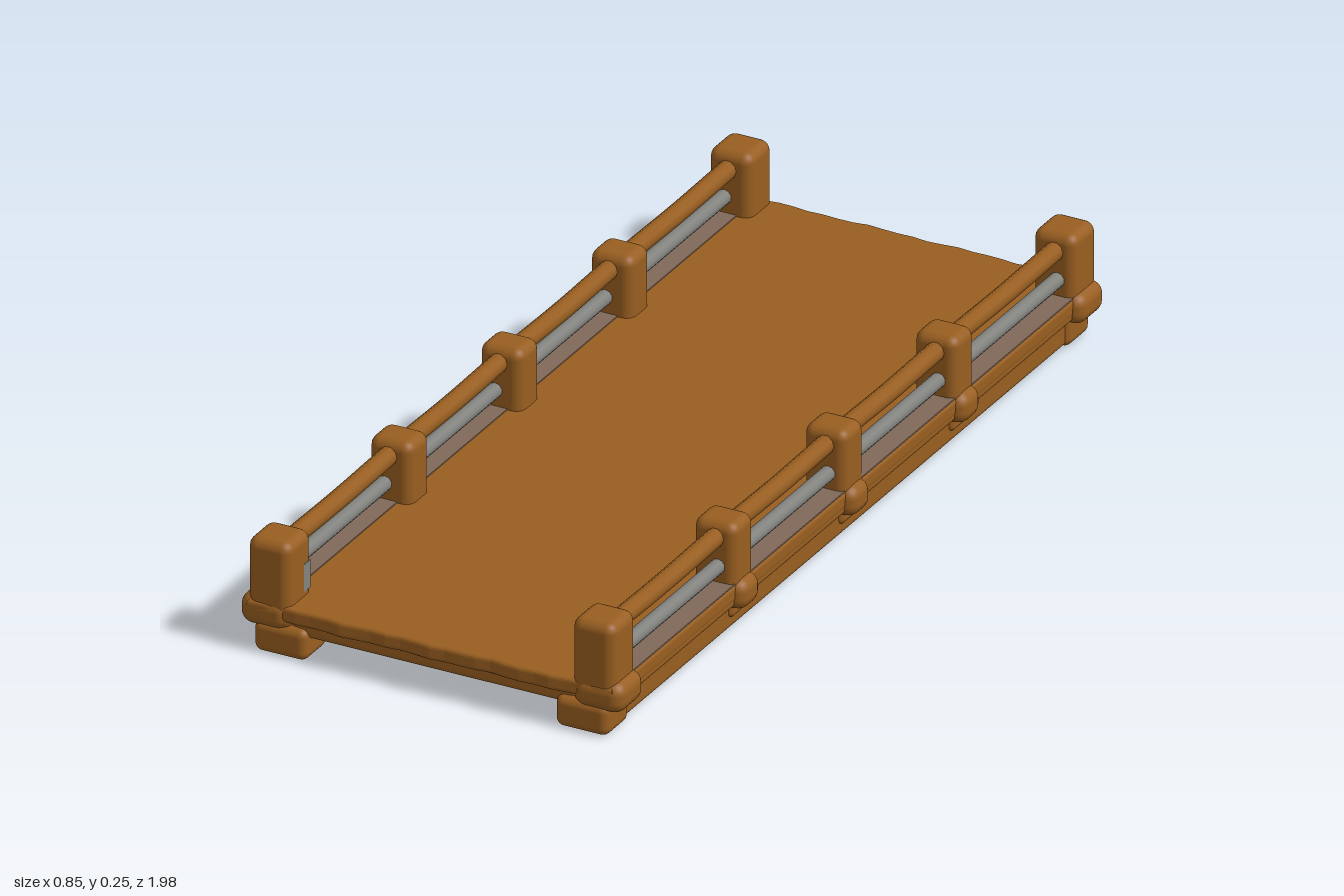
import * as THREE from 'three';
import { RoundedBoxGeometry } from 'three/addons/geometries/RoundedBoxGeometry.js';

export function createModel() {
  const model = new THREE.Group();
  model.name = 'woodenBridge';

  const wood = new THREE.MeshStandardMaterial({ color: 0x985e20 });
  wood.name = 'brown wood';
  const metal = new THREE.MeshStandardMaterial({ color: 0x82827f });
  metal.name = 'grey metal';
  const stain = new THREE.MeshStandardMaterial({ color: 0x80695a });
  stain.name = 'greyish wood';

  const add = (parent, name, geometry, material) => {
    const mesh = new THREE.Mesh(geometry, material);
    mesh.name = name;
    parent.add(mesh);
    return mesh;
  };
  // Rounded block given by its limits on each axis
  const block = (parent, name, [x0, x1], [y0, y1], [z0, z1], radius) => {
    const g = new RoundedBoxGeometry(x1 - x0, y1 - y0, z1 - z0, 3, radius);
    g.translate((x0 + x1) / 2, (y0 + y1) / 2, (z0 + z1) / 2);
    return add(parent, name, g, wood);
  };
  // Thin flat plate given by size and centre
  const plate = (parent, name, size, centre, material) =>
    add(parent, name, new THREE.BoxGeometry(...size).translate(...centre), material);
  // Rail drawn through a list of points
  const rail = (parent, name, points, radius, material) =>
    add(parent, name, new THREE.TubeGeometry(new THREE.CatmullRomCurve3(points), 64, radius, 10), material);

  const postZ = [-0.938, -0.448, 0, 0.448, 0.935];

  // Deck with gently worn, uneven ends
  const outline = new THREE.Shape();
  const steps = 24, half = 0.396;
  const wear = (x, k) => 0.976 + 0.002 * Math.sin(x * 31 + k) + 0.002 * Math.sin(x * 67 + k * 2);
  for (let i = 0; i <= steps; i++) {
    const x = -half + (2 * half * i) / steps;
    i ? outline.lineTo(x, -wear(x, 1)) : outline.moveTo(x, -wear(x, 1));
  }
  for (let i = steps; i >= 0; i--) {
    const x = -half + (2 * half * i) / steps;
    outline.lineTo(x, wear(x, 4));
  }
  const deck = new THREE.ExtrudeGeometry(outline, {
    depth: 0.018, bevelEnabled: true, bevelThickness: 0.008, bevelSize: 0.008, bevelSegments: 3,
  });
  deck.rotateX(-Math.PI / 2).translate(0, 0.089, 0);
  add(model, 'deck', deck, wood);

  // Cross beams under the deck
  postZ.forEach((z) => block(model, 'crossBeam', [-0.32, 0.32], [0.05, 0.09], [z - 0.034, z + 0.034], 0.014));

  [-1, 1].forEach((s) => {
    const side = new THREE.Group();
    side.name = s > 0 ? 'leftSide' : 'rightSide';
    model.add(side);
    const span = (a, b) => (s > 0 ? [a, b] : [-b, -a]);

    // Long ground beam with wider ends
    block(side, 'groundBeam', span(0.29, 0.384), [0.007, 0.075], [-0.975, 0.975], 0.014);
    [-1, 1].forEach((e) => {
      const z = e > 0 ? [0.89, 0.984] : [-0.984, -0.89];
      block(side, 'beamEnd', span(0.274, 0.392), [0.004, 0.072], z, 0.018);
    });
    // Outer skirt below the deck edge
    block(side, 'skirt', span(0.35, 0.402), [0.066, 0.1], [-0.97, 0.97], 0.012);

    // Posts with a swollen foot, the middle ones with a small peg beneath
    postZ.forEach((z) => {
      const corner = Math.abs(z) > 0.9;
      const w = corner ? 0.048 : 0.041;
      const f = corner ? 0.052 : 0.039;
      block(side, corner ? 'cornerPost' : 'middlePost', span(0.311, 0.406), [0.06, corner ? 0.25 : 0.246], [z - w, z + w], 0.022);
      block(side, 'postFoot', span(0.314, 0.424), [0.057, 0.124], [z - f, z + f], 0.027);
      if (!corner) block(side, 'peg', span(0.355, 0.393), [0.034, 0.07], [z - 0.028, z + 0.028], 0.013);
    });

    // Wooden handrail sagging very slightly between posts
    const top = [];
    postZ.forEach((z, i) => {
      top.push(new THREE.Vector3(s * 0.361, 0.213, z));
      if (i < 4) top.push(new THREE.Vector3(s * 0.361, 0.21, (z + postZ[i + 1]) / 2));
    });
    rail(side, 'handrail', top, 0.02, wood);

    // Straight metal lower rail
    const low = [-0.94, 0, 0.94].map((z) => new THREE.Vector3(s * 0.368, 0.152, z));
    rail(side, 'metalRail', low, 0.016, metal);

    // Greyish strip along the deck edge
    plate(side, 'edgeStrip', [0.06, 0.003, 1.8], [s * 0.371, 0.116, 0], stain);
    // Grey worn patch on the inner face of one post
    const patchZ = s > 0 ? -0.431 : 0.91;
    plate(side, 'postPatch', [0.002, 0.06, 0.026], [s * 0.311, 0.155, patchZ], metal);
  });

  return model;
}
